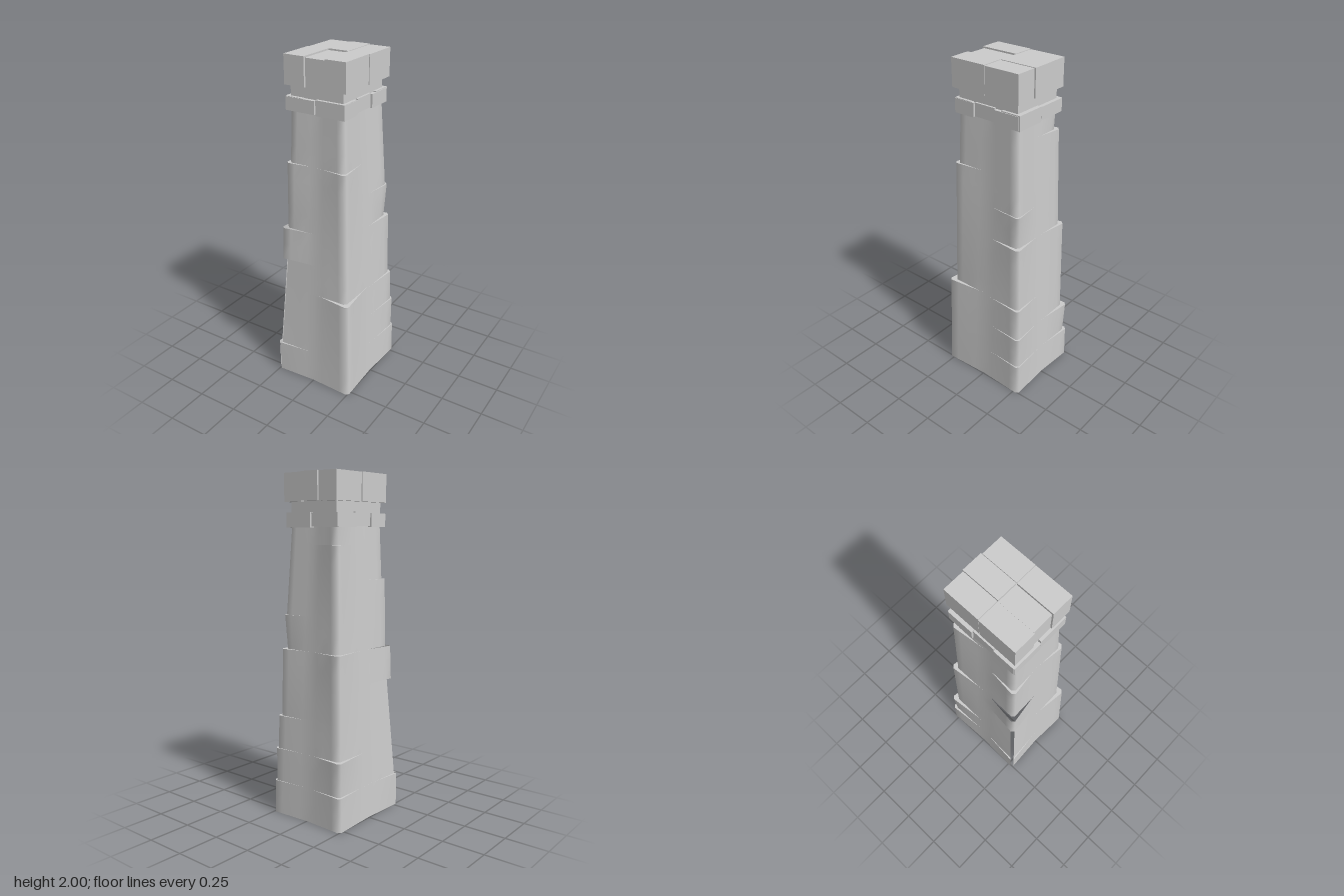
import * as THREE from 'three';
import { toCreasedNormals } from 'three/addons/utils/BufferGeometryUtils.js';

const grey = new THREE.MeshStandardMaterial({ color: 0xcccccc, side: THREE.DoubleSide });

// Corners in order round the shaft: sign of x, sign of z, and the worn ledges
// [height, corner offset just below, corner offset just above]
const corners = [
  { sx: 1, sz: 1, ledges: [[0.61, 0.013, -0.012], [1.4, 0.009, -0.004]] },
  { sx: 1, sz: -1, ledges: [[0.2, 0.007, 0], [0.4, 0.01, 0.002], [0.6, 0.008, -0.005], [1.0, 0.009, -0.012], [1.2, 0.008, 0]] },
  { sx: -1, sz: -1, ledges: [[0.2, 0.008, -0.006], [0.4, 0.012, -0.012], [1.0, 0.012, -0.008], [1.6, 0.01, -0.01]] },
  { sx: -1, sz: 1, ledges: [[0.2, 0.01, 0], [0.8, -0.008, 0.01], [1.0, 0.015, -0.007], [1.4, 0.008, -0.006]] },
];
const shaftTop = 1.72;
const bevel = 0.016;

// Corner offset at height y, taken just above or just below a ledge
function cornerOffset(corner, y, above) {
  let y0 = 0, o0 = 0;
  for (const [ly, below, over] of [...corner.ledges, [shaftTop, 0, 0]]) {
    if (y < ly || (y === ly && !above)) return o0 + ((below - o0) * (y - y0)) / (ly - y0);
    y0 = ly;
    o0 = over;
  }
  return o0;
}

// One cross-section: each side bows in at its middle and follows its two corners
const stations = [-1, -0.8, -0.5, -0.25, 0, 0.25, 0.5, 0.8, 1];
function section(y, above) {
  const half = { x: 0.257 - 0.051 * y, z: 0.286 - 0.047 * y };
  const points = [];
  corners.forEach((a, i) => {
    const b = corners[(i + 1) % 4];
    const oa = cornerOffset(a, y, above), ob = cornerOffset(b, y, above);
    for (const t of stations) {
      const near = Math.max(0, (Math.abs(t) - 0.2) / 0.8);
      const o = near * (t < 0 ? oa : ob);
      const out = o - 0.012 * (1 - Math.abs(t));
      const ax = t < 0 ? a : b;
      const along = (h) => Math.abs(t) * (h + o - bevel);
      points.push(a.sx === b.sx
        ? new THREE.Vector3(a.sx * (half.x + out), y, ax.sz * along(half.z))
        : new THREE.Vector3(ax.sx * along(half.x), y, a.sz * (half.z + out)));
    }
  });
  return points;
}

function shaftGeometry() {
  const heights = [0, 0.1, 0.2, 0.3, 0.4, 0.5, 0.6, 0.61, 0.7, 0.8, 0.9, 1.0, 1.1, 1.2, 1.3, 1.4, 1.5, 1.6, shaftTop];
  const rows = heights.flatMap((y) => [{ y, above: false }, { y, above: true }]);
  const rings = rows.map((r) => section(r.y, r.above));
  const positions = [];
  const tri = new THREE.Triangle();
  const add = (a, b, c) => {
    if (tri.set(a, b, c).getArea() > 1e-8) for (const p of [a, b, c]) positions.push(p.x, p.y, p.z);
  };
  const n = rings[0].length, per = stations.length;
  for (let r = 0; r + 1 < rings.length; r++) {
    const ledge = rows[r].y === rows[r + 1].y;
    for (let j = 0; j < n; j++) {
      // Split seam at one corner, and an open crack over the ledge above it
      const splitSeam = j === 3 * per - 1 && rows[r + 1].y <= 0.8;
      const openCrack = ledge && rows[r].y === 1.0 && j >= 2.5 * per && j < 3.4 * per;
      if (splitSeam || openCrack) continue;
      const k = (j + 1) % n;
      const [a, b, c, d] = [rings[r][j], rings[r][k], rings[r + 1][k], rings[r + 1][j]];
      add(a, b, c);
      add(a, c, d);
    }
  }
  const g = new THREE.BufferGeometry();
  g.setAttribute('position', new THREE.Float32BufferAttribute(positions, 3));
  return toCreasedNormals(g, 0.95);
}

// Box given by its limits on each axis
function block(name, [x0, x1], [y0, y1], [z0, z1]) {
  const mesh = new THREE.Mesh(new THREE.BoxGeometry(x1 - x0, y1 - y0, z1 - z0), grey);
  mesh.position.set((x0 + x1) / 2, (y0 + y1) / 2, (z0 + z1) / 2);
  mesh.name = name;
  return mesh;
}

export function createModel() {
  const model = new THREE.Group();
  model.name = 'stoneChimney';

  const shaft = new THREE.Mesh(shaftGeometry(), grey);
  shaft.name = 'shaft';
  model.add(shaft);

  // Belt course: two long stones front and back, three short ones on each side
  const belt = new THREE.Group();
  belt.name = 'beltCourse';
  for (const s of [-1, 1]) {
    const z = s > 0 ? [0.1, 0.222] : [-0.222, -0.1];
    belt.add(block('beltEndStone', [-0.186, -0.003], [1.7, 1.775], z));
    belt.add(block('beltEndStone', [0.003, 0.181], [1.695, 1.78], [z[0] - 0.004, z[1] - 0.004]));
    const side = (lift, out, z0, z1) => block('beltSideStone',
      s > 0 ? [0.08, 0.183 + out] : [-0.188 - out, -0.08], [1.7 + lift, 1.777 + lift], [z0, z1]);
    belt.add(side(0, 0, 0.085, 0.218), side(0.004, -0.006, -0.055, 0.08), side(-0.002, 0.002, -0.218, -0.06));
  }
  model.add(belt);

  model.add(block('neck', [-0.165, 0.165], [1.74, 1.86], [-0.2, 0.2]));

  // Cap: three by two stones of slightly uneven size, with fine joints
  const cap = new THREE.Group();
  cap.name = 'cap';
  const columns = [
    { x: [-0.188, -0.061], front: 0.225, back: -0.226, top: 2.0 },
    { x: [-0.058, 0.063], front: 0.216, back: -0.232, top: 1.992 },
    { x: [0.066, 0.193], front: 0.223, back: -0.226, top: 2.0 },
  ];
  columns.forEach(({ x, front, back, top }, i) => {
    const bottom = 1.838 + (i === 1 ? 0.004 : 0);
    cap.add(block('capStone', x, [bottom, top], [-0.003, front]));
    cap.add(block('capStone', [x[0] + 0.002, x[1] + 0.002], [bottom, i === 1 ? 2.0 : top - 0.002], [back, -0.007]));
  });
  cap.add(block('capCore', [-0.17, 0.17], [1.845, 1.985], [-0.2, 0.2]));
  model.add(cap);

  return model;
}
